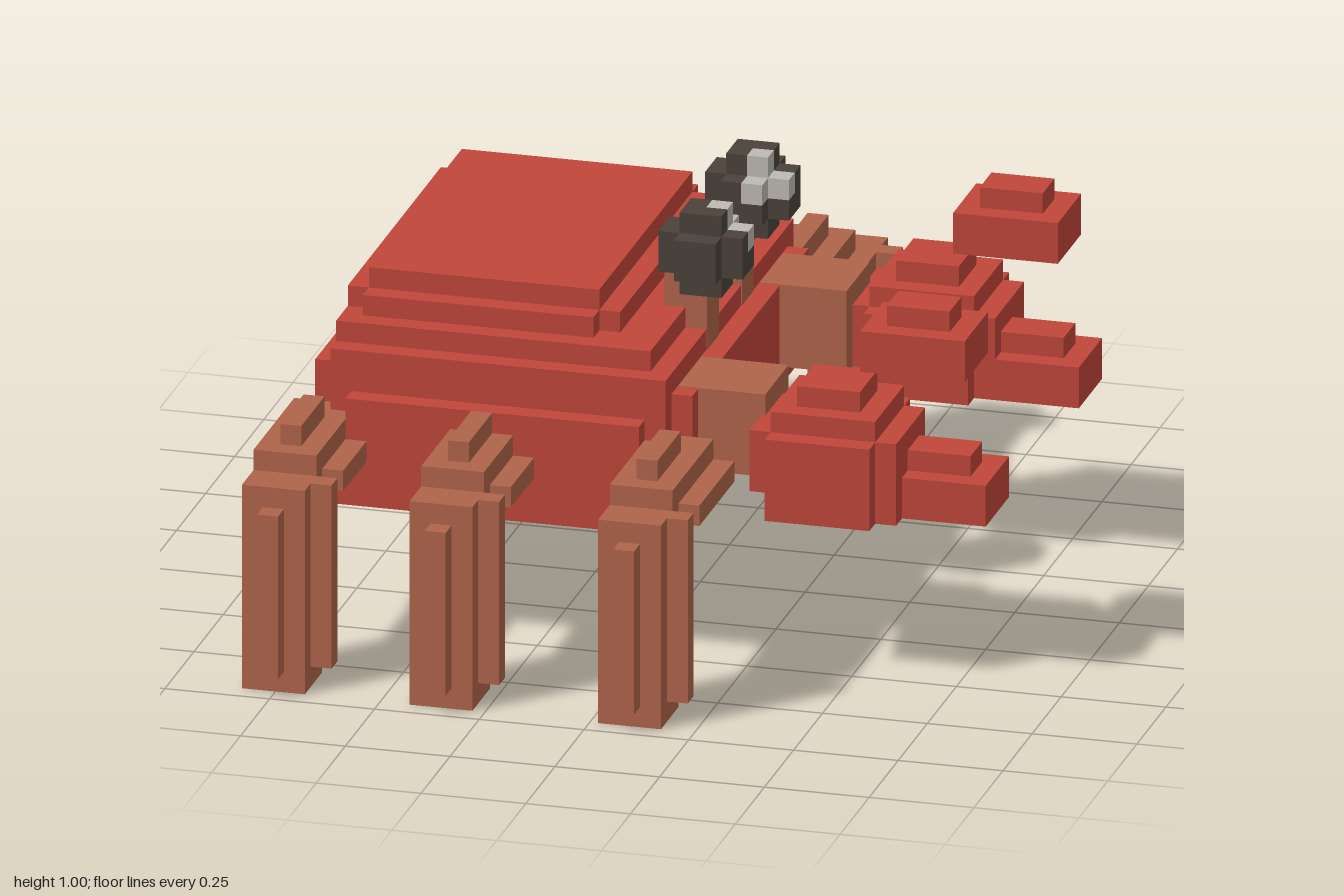
import * as THREE from 'three';

const mat = (name, color) => {
  const m = new THREE.MeshStandardMaterial({ color });
  m.name = name;
  return m;
};

export function createModel() {
  const red = mat('shellRed', 0xc0463a);
  const brown = mat('legBrown', 0xb0644a);
  const dark = mat('eyeDark', 0x4a423a);
  const light = mat('eyeGlint', 0xbdbab2);

  const model = new THREE.Group();
  model.name = 'crab';

  const part = (name) => {
    const g = new THREE.Group();
    g.name = name;
    model.add(g);
    return g;
  };
  // Box given by its limits on each axis; z limits may come in either order
  const box = (parent, name, material, x0, x1, y0, y1, z0, z1) => {
    const mesh = new THREE.Mesh(new THREE.BoxGeometry(x1 - x0, y1 - y0, Math.abs(z1 - z0)), material);
    mesh.position.set((x0 + x1) / 2, (y0 + y1) / 2, (z0 + z1) / 2);
    mesh.name = name;
    parent.add(mesh);
  };

  // Shell: stepped slabs [x0, x1, y0, y1, half depth]
  const shell = part('shell');
  [
    [-0.78, 0.02, 0.30, 0.40, 0.50],
    [-0.78, 0.07, 0.35, 0.40, 0.50],
    [-0.78, 0.12, 0.40, 0.65, 0.50],
    [-0.73, 0.07, 0.35, 0.70, 0.55],
    [-0.68, 0.02, 0.40, 0.60, 0.60],
    [-0.73, 0.02, 0.65, 0.75, 0.50],
    [-0.68, -0.13, 0.75, 0.80, 0.45],
    [-0.73, -0.08, 0.75, 0.80, 0.40],
    [-0.68, -0.13, 0.80, 0.85, 0.40],
  ].forEach(([x0, x1, y0, y1, d]) => box(shell, 'shellSlab', red, x0, x1, y0, y1, -d, d));

  for (const s of [1, -1]) {
    const side = s > 0 ? 'near' : 'far';

    // Legs: the far row sits one step further back within its blocks
    [-0.83, -0.43, 0.02].forEach((x, i) => {
      const leg = part(side + 'Leg' + (i + 1));
      const xu = s < 0 && i === 2 ? x - 0.05 : x;
      const out = s > 0 ? 0 : 0.05;
      const root = i === 1 ? 0.6 : 0.5;
      box(leg, 'shin', brown, x, x + 0.15, 0, 0.5, s * (0.8 + out), s * (0.95 + out));
      const ridge = s > 0 ? [0.95, 1.0] : [-0.85, -0.8];
      box(leg, 'shinRidge', brown, x + 0.05, x + 0.1, 0.05, 0.45, ridge[0], ridge[1]);
      box(leg, 'shinSideRidge', brown, x + 0.15, x + 0.2, 0.05, 0.5, s * (0.85 + out), s * (0.9 + out));
      box(leg, 'thigh', brown, xu, xu + 0.15, 0.4, 0.55, s * root, s * (0.85 + out));
      box(leg, 'thighSideRidge', brown, xu + 0.15, xu + 0.2, 0.45, 0.5, s * root, s * (0.8 + out));
      box(leg, 'thighRidge', brown, xu + 0.05, xu + 0.1, 0.55, 0.6, s * 0.6, s * (0.8 + out));
    });

    // Arm and pincer with its separate upper jaw
    const claw = part(side + 'Claw');
    box(claw, 'arm', brown, 0.072, 0.28, 0.45, 0.652, s * 0.25, s * 0.45);
    [
      ['palmBack', 0.27, 0.32, 0.45, 0.60, 0.30, 0.55],
      ['palm', 0.32, 0.57, 0.40, 0.60, 0.25, 0.60],
      ['palmTop', 0.32, 0.57, 0.60, 0.65, 0.30, 0.55],
      ['palmRidge', 0.37, 0.52, 0.65, 0.70, 0.35, 0.50],
      ['palmFront', 0.57, 0.62, 0.40, 0.60, 0.30, 0.55],
      ['lowerJaw', 0.62, 0.82, 0.40, 0.50, 0.30, 0.50],
      ['lowerJawRidge', 0.62, 0.77, 0.50, 0.55, 0.35, 0.45],
      ['upperJaw', 0.52, 0.77, 0.75, 0.85, 0.30, 0.50],
      ['upperJawRidge', 0.57, 0.72, 0.85, 0.90, 0.35, 0.45],
    ].forEach(([n, x0, x1, y0, y1, z0, z1]) => box(claw, n, red, x0, x1, y0, y1, s * z0, s * z1));

    // Eye: stalk and a small blocky ball with three glint cubes
    const eye = part(side + 'Eye');
    box(eye, 'stalk', brown, -0.03, 0.072, 0.65, 0.85, s * 0.1, s * 0.2);
    const glints = ['2,3,1', '3,2,1', '2,2,0'];
    const outer = (k) => (k === 0 || k === 3 ? 1 : 0);
    for (let i = 0; i < 4; i++) for (let j = 0; j < 4; j++) for (let k = 0; k < 4; k++) {
      if (outer(i) + outer(j) + outer(k) !== 1) continue;
      const glint = glints.includes([i, j, k].join());
      const x = -0.03 + i * 0.05, y = 0.8 + j * 0.05, z = 0.1 + k * 0.05;
      box(eye, glint ? 'glint' : 'eyeball', glint ? light : dark, x, x + 0.05, y, y + 0.05, s * z, s * (z + 0.05));
    }
  }
  return model;
}
